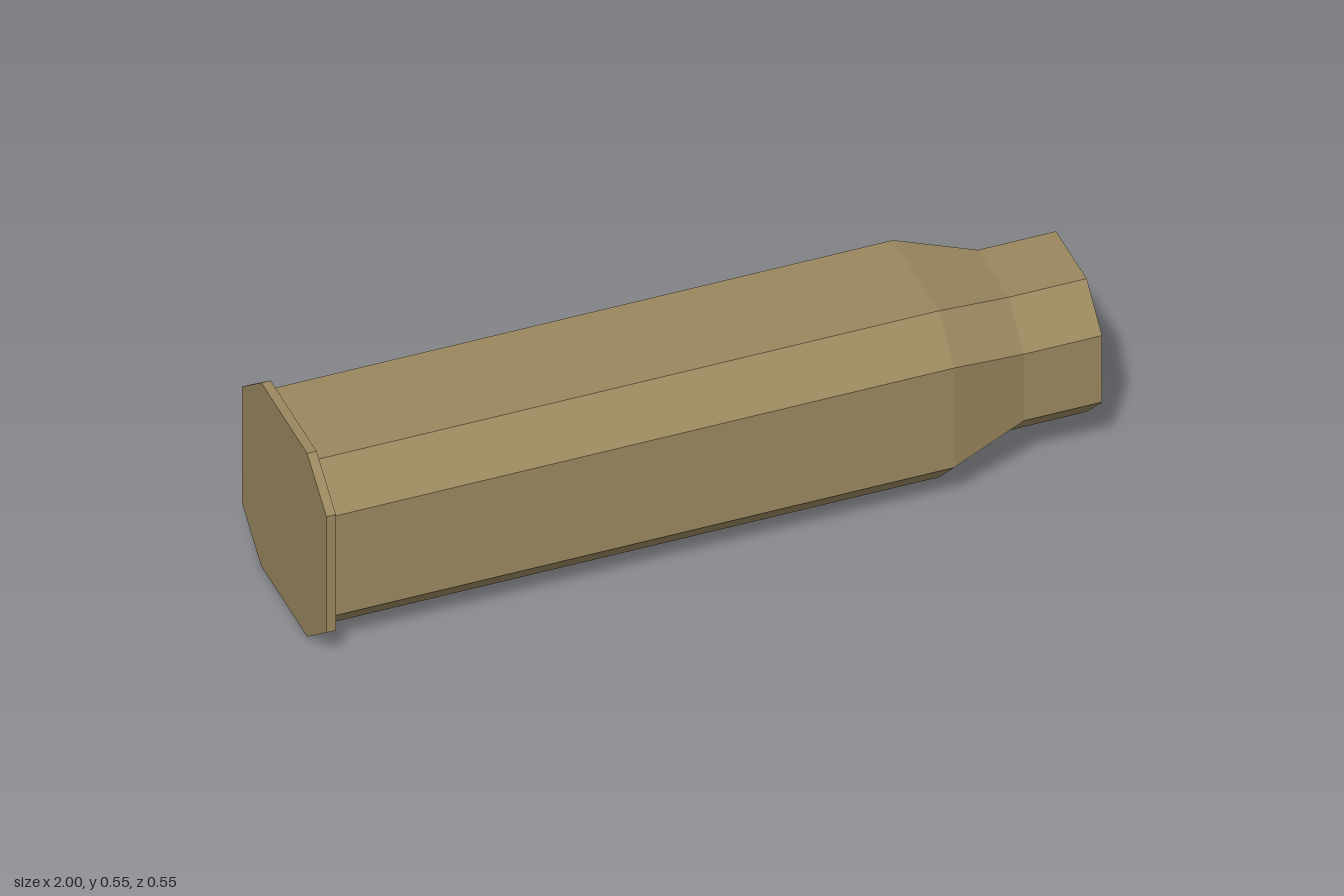
import * as THREE from 'three';

const CENTRE_Y = 0.2725;

// Chamfered square section at x: half size r, half flat widths along z and y
function section(x, r, flatZ, flatY = flatZ) {
  return [[r, -flatZ], [r, flatZ], [flatY, r], [-flatY, r],
    [-r, flatZ], [-r, -flatZ], [-flatY, -r], [flatY, -r]]
    .map(([y, z]) => new THREE.Vector3(x, y, z));
}

// Faceted skin through sections ordered from -x to +x, capped at both ends
function loft(sections) {
  const points = [];
  const n = sections[0].length;
  for (let s = 0; s < sections.length - 1; s++) {
    const a = sections[s], b = sections[s + 1];
    for (let i = 0; i < n; i++) {
      const j = (i + 1) % n;
      points.push(a[i], a[j], b[j], a[i], b[j], b[i]);
    }
  }
  const first = sections[0], last = sections[sections.length - 1];
  for (let i = 1; i < n - 1; i++) {
    points.push(first[0], first[i + 1], first[i], last[0], last[i], last[i + 1]);
  }
  const geometry = new THREE.BufferGeometry().setFromPoints(points);
  geometry.computeVertexNormals();
  return geometry;
}

export function createModel() {
  const model = new THREE.Group();
  model.name = 'cartridgeCase';
  const brass = new THREE.MeshStandardMaterial({ color: 0x9a875f, flatShading: true });
  brass.name = 'dull brass';

  const addPart = (name, sections) => {
    const mesh = new THREE.Mesh(loft(sections), brass);
    mesh.name = name;
    mesh.position.y = CENTRE_Y;
    model.add(mesh);
  };

  // Flared plate at the closed end
  addPart('rim', [section(-1, 0.2725, 0.148, 0.1725), section(-0.976, 0.2725, 0.148, 0.1725)]);

  // Straight body, tapered shoulder and narrow neck
  addPart('caseBody', [
    section(-0.976, 0.2475, 0.148),
    section(0.605, 0.2475, 0.148),
    section(0.802, 0.198, 0.099),
    section(1, 0.198, 0.099),
  ]);
  return model;
}
